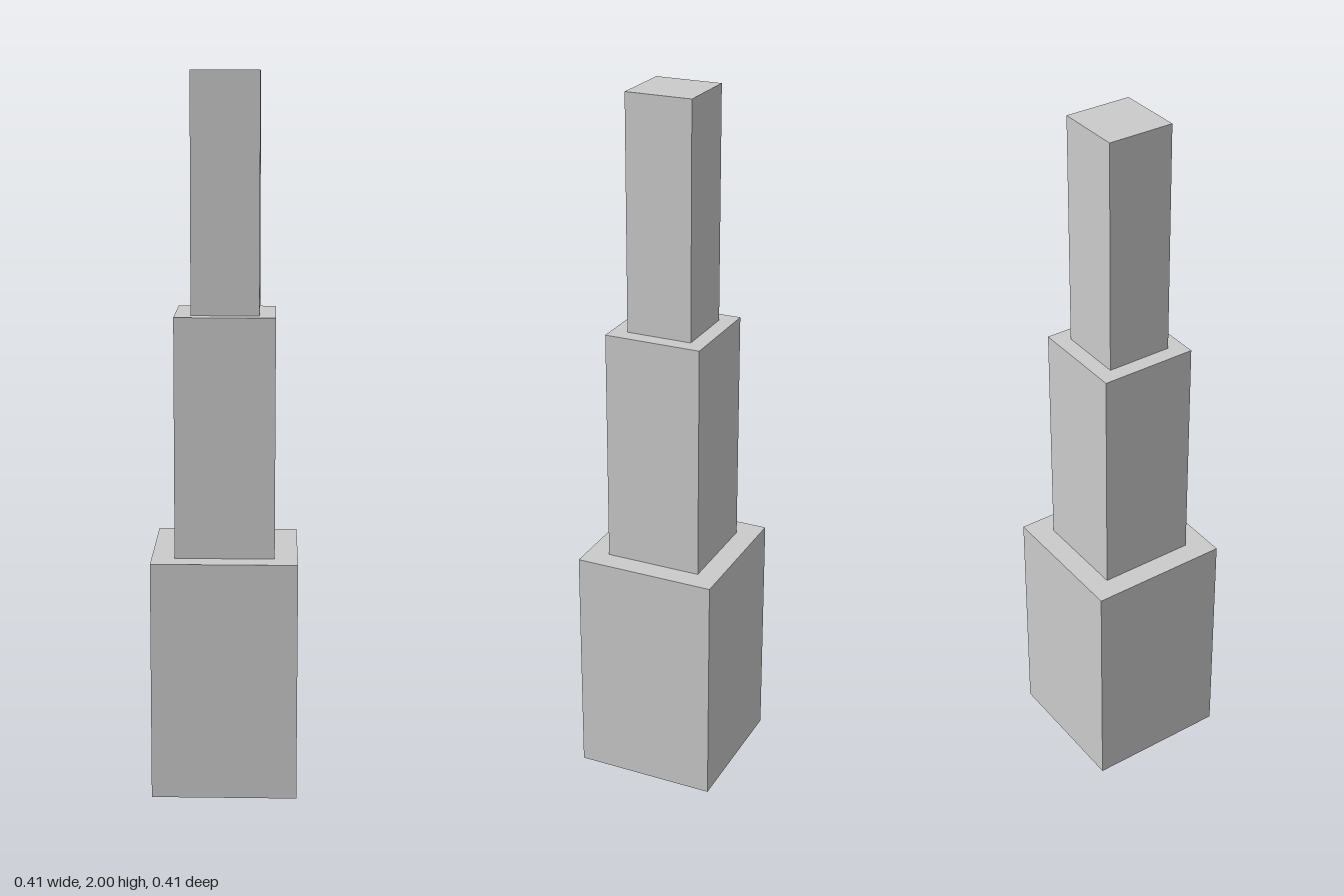
import * as THREE from 'three';

// Stacked square tiers: name, width, bottom and top height
const TIERS = [
  ['baseTier', 0.405, 0, 0.675],
  ['middleTier', 0.277, 0.675, 1.345],
  ['topTier', 0.188, 1.345, 2],
];

export function createModel() {
  const model = new THREE.Group();
  model.name = 'steppedTower';
  const material = new THREE.MeshStandardMaterial({ color: 0xcccccc, flatShading: true });

  for (const [name, width, bottom, top] of TIERS) {
    const tier = new THREE.Mesh(new THREE.BoxGeometry(width, top - bottom, width), material);
    tier.name = name;
    tier.position.y = (bottom + top) / 2;
    model.add(tier);
  }
  return model;
}
